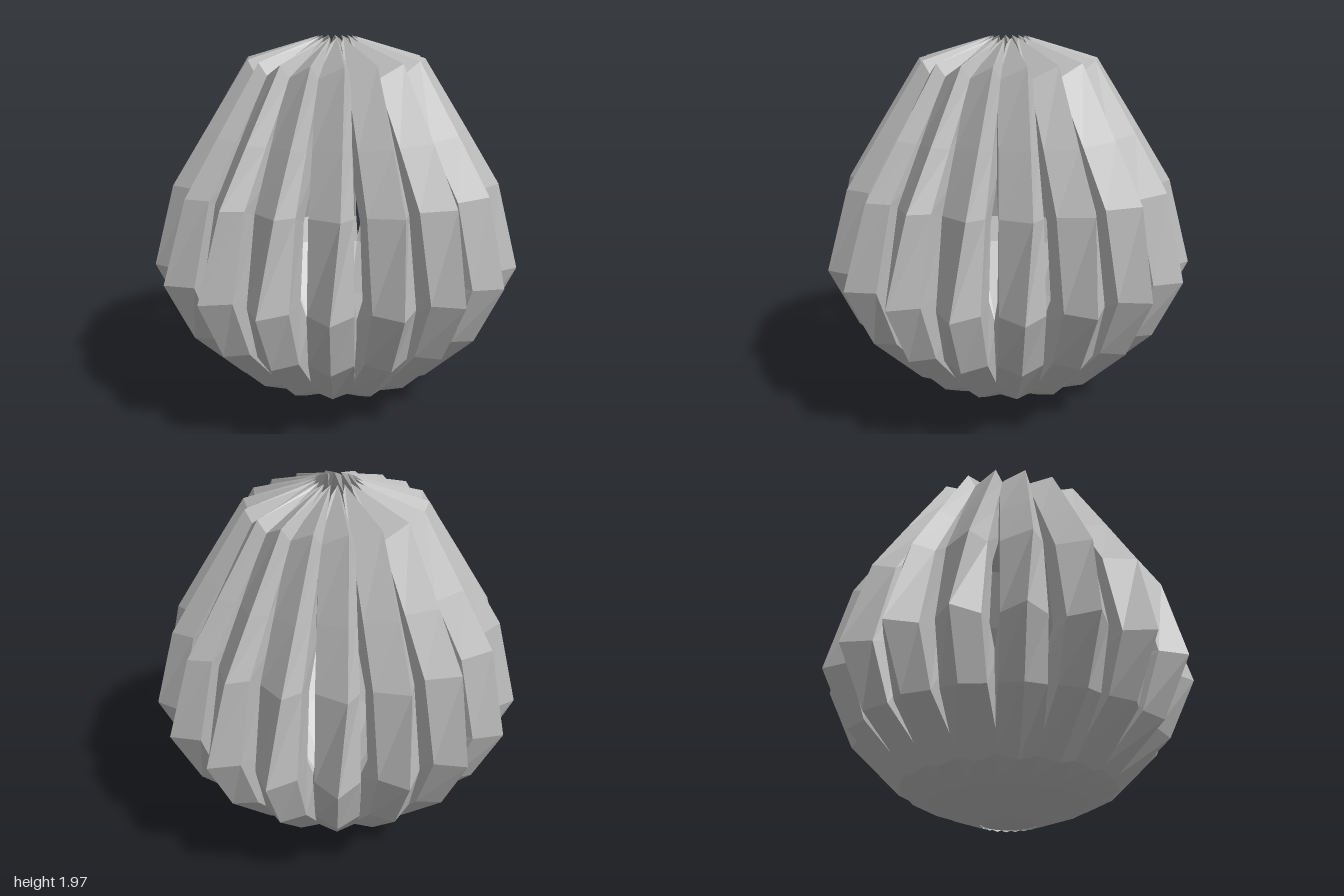
import * as THREE from 'three';

const RIBS = 18;

// Cross-sections from floor to crown:
// ridge [offset, r, y], shoulder [halfWidth, r, y], inner edge [halfWidth, r, y]
const STATIONS = [
  { ridge: [0, 0.14, 0.0], shoulder: [0.035, 0.14, 0.012], inner: [0.03, 0.15, 0.05] },
  { ridge: [0, 0.42, 0.095], shoulder: [0.1, 0.4, 0.12], inner: [0.1, 0.34, 0.24] },
  { ridge: [0, 0.57, 0.17], shoulder: [0.108, 0.54, 0.205], inner: [0.115, 0.46, 0.36] },
  { ridge: [0, 0.845, 0.44], shoulder: [0.112, 0.77, 0.46], inner: [0.124, 0.67, 0.63] },
  { ridge: [0, 0.995, 0.76], shoulder: [0.11, 0.87, 0.76], inner: [0.108, 0.73, 0.78] },
  { ridge: [0.045, 0.875, 1.21], shoulder: [0.105, 0.77, 1.2], inner: [0.098, 0.66, 1.15] },
  { ridge: [0.05, 0.694, 1.5], shoulder: [0.094, 0.61, 1.48], inner: [0.1, 0.53, 1.38] },
  { ridge: [0.055, 0.465, 1.86], shoulder: [0.085, 0.43, 1.79], inner: [0.078, 0.38, 1.7] },
  { ridge: [0.008, 0.1, 1.97], shoulder: [0.024, 0.16, 1.94], inner: [0.024, 0.17, 1.87] },
];

// Five corners of one section, counter-clockwise seen from above
function section({ ridge, shoulder, inner }) {
  const p = (x, r, y) => new THREE.Vector3(x, y, r);
  return [
    p(...ridge),
    p(shoulder[0], shoulder[1], shoulder[2]),
    p(inner[0], inner[1], inner[2]),
    p(-inner[0], inner[1], inner[2]),
    p(-shoulder[0], shoulder[1], shoulder[2]),
  ];
}

// Closed faceted loft through all sections
function ribGeometry() {
  const rings = STATIONS.map(section);
  const n = rings[0].length;
  const pos = [];
  const tri = (...pts) => pts.forEach((v) => pos.push(v.x, v.y, v.z));
  for (let i = 0; i < rings.length - 1; i++) {
    for (let j = 0; j < n; j++) {
      const k = (j + 1) % n;
      const a = rings[i][j], b = rings[i][k], c = rings[i + 1][k], d = rings[i + 1][j];
      tri(a, b, c);
      tri(a, c, d);
    }
  }
  const first = rings[0], last = rings[rings.length - 1];
  for (let j = 1; j < n - 1; j++) {
    tri(first[0], first[j + 1], first[j]);
    tri(last[0], last[j], last[j + 1]);
  }
  const g = new THREE.BufferGeometry();
  g.setAttribute('position', new THREE.Float32BufferAttribute(pos, 3));
  g.computeVertexNormals();
  return g;
}

export function createModel() {
  const model = new THREE.Group();
  model.name = 'ribbedLantern';
  const grey = new THREE.MeshStandardMaterial({ color: 0xb8b8b8, flatShading: true });
  grey.name = 'grey';

  // Ring of ribs
  const ribs = new THREE.Group();
  ribs.name = 'ribs';
  const geometry = ribGeometry();
  for (let i = 0; i < RIBS; i++) {
    const rib = new THREE.Mesh(geometry, grey);
    rib.name = 'rib';
    rib.rotation.y = (i / RIBS) * Math.PI * 2;
    ribs.add(rib);
  }
  model.add(ribs);

  // Flat floor closing the ring under the open crown
  const floor = new THREE.Mesh(new THREE.CylinderGeometry(0.22, 0.15, 0.05, RIBS), grey);
  floor.name = 'floor';
  floor.position.y = 0.035;
  model.add(floor);

  return model;
}
